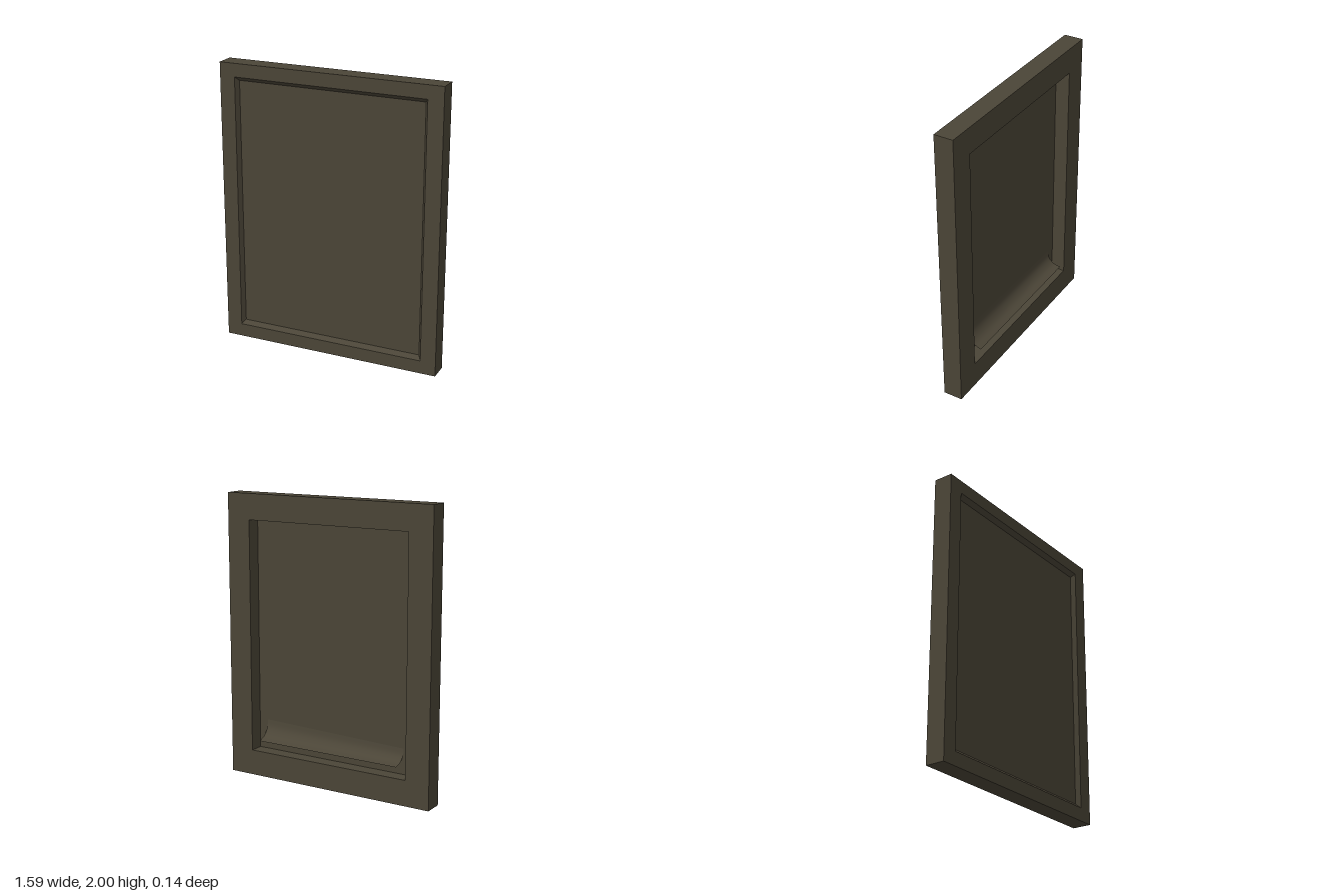
import * as THREE from 'three';

// Sweeps a rectangular ring through [halfWidth, halfHeight, z] steps, with sharp edges.
function rectangularRing(steps) {
  const corners = [[-1, -1], [1, -1], [1, 1], [-1, 1]];
  const point = (s, k) => {
    const [cx, cy] = corners[k % 4];
    return [cx * s[0], 1 + cy * s[1], s[2]];
  };
  const positions = [];
  for (let i = 0; i < steps.length - 1; i++) {
    for (let k = 0; k < 4; k++) {
      const a = point(steps[i], k), b = point(steps[i + 1], k);
      const c = point(steps[i + 1], k + 1), d = point(steps[i], k + 1);
      positions.push(...a, ...b, ...c, ...a, ...c, ...d);
    }
  }
  const geometry = new THREE.BufferGeometry();
  geometry.setAttribute('position', new THREE.Float32BufferAttribute(positions, 3));
  geometry.computeVertexNormals();
  return geometry;
}

// Curled sheet: a curve in (z, y) stretched across x, a little lower towards -x.
function curledSheet(halfWidth) {
  const curve = new THREE.CatmullRomCurve3([
    new THREE.Vector3(0, 0.405, 0.038),
    new THREE.Vector3(0, 0.335, 0.024),
    new THREE.Vector3(0, 0.285, -0.014),
    new THREE.Vector3(0, 0.26, -0.07),
  ]);
  const rows = 12;
  const geometry = new THREE.PlaneGeometry(halfWidth * 2, 1, 8, rows);
  const pos = geometry.attributes.position;
  for (let i = 0; i < pos.count; i++) {
    const t = 0.5 - pos.getY(i);
    const p = curve.getPoint(t);
    const side = (halfWidth - pos.getX(i)) / (2 * halfWidth);
    pos.setXYZ(i, pos.getX(i), p.y - 0.035 * side * (1 - t), p.z);
  }
  geometry.computeVertexNormals();
  return geometry;
}

export function createModel() {
  const group = new THREE.Group();
  const wood = new THREE.MeshStandardMaterial({ color: 0x4b4537, side: THREE.DoubleSide });
  wood.name = 'darkOlive';

  const add = (name, geometry) => {
    const mesh = new THREE.Mesh(geometry, wood);
    mesh.name = name;
    group.add(mesh);
    return mesh;
  };

  // Frame with a bevelled front lip and a deep, straight-sided back recess
  add('frame', rectangularRing([
    [0.663, 0.88, 0.036],
    [0.663, 0.88, 0.04],
    [0.684, 0.907, 0.07],
    [0.793, 1, 0.07],
    [0.793, 1, -0.065],
    [0.618, 0.82, -0.065],
    [0.618, 0.82, 0.036],
    [0.663, 0.88, 0.036],
  ]));

  // Thin panel closing the opening
  const panel = add('panel', new THREE.BoxGeometry(1.326, 1.76, 0.004));
  panel.position.set(0, 1, 0.038);

  // Curled flap at the bottom of the back recess
  add('backFlap', curledSheet(0.55));

  return group;
}
